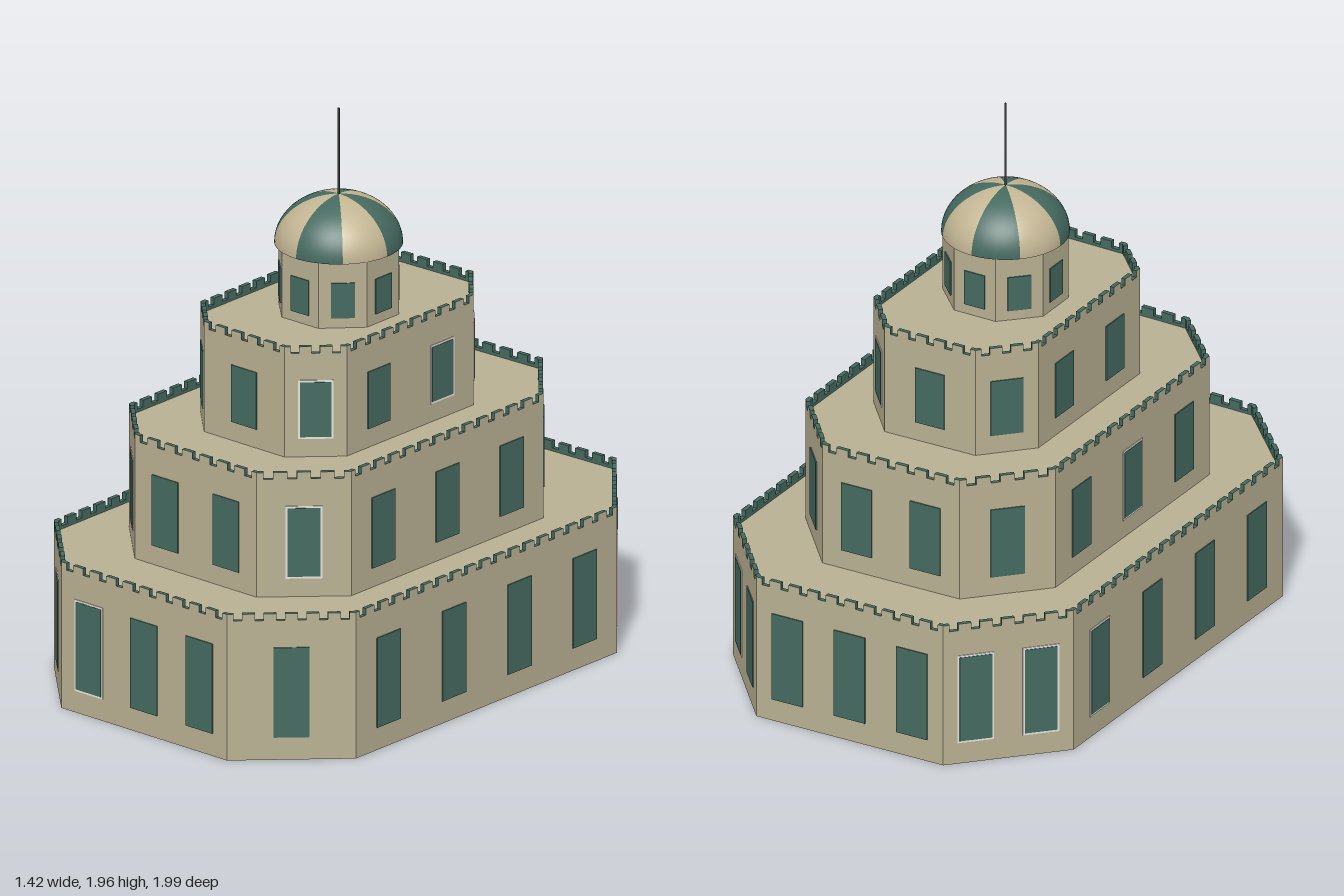
import * as THREE from 'three';

const mat = (name, color, side = THREE.DoubleSide) => {
  const m = new THREE.MeshStandardMaterial({ color, side });
  m.name = name;
  return m;
};

export function createModel() {
  const stone = mat('sandstone', 0xb9b193);
  const green = mat('dark green', 0x456a60);
  const cream = mat('dome cream', 0xc3b694);
  const white = mat('window frame white', 0xf2f0ea);
  const metal = mat('spire grey', 0x3c3c3c);

  const model = new THREE.Group();
  model.name = 'tieredTower';

  const add = (parent, name, geo, material, x = 0, y = 0, z = 0) => {
    const m = new THREE.Mesh(geo, material);
    m.name = name;
    m.position.set(x, y, z);
    parent.add(m);
    return m;
  };

  // Irregular octagon plan, clockwise from the back face
  const plan = [[-0.29, -0.995], [0.43, -0.965], [0.71, -0.6], [0.62, 0.72],
    [0.29, 0.995], [-0.45, 0.935], [-0.71, 0.635], [-0.62, -0.69]];
  const scaled = (s) => plan.map(([x, z]) => [x * s, z * s]);
  const drumPlan = Array.from({ length: 8 }, (_, i) => {
    const a = THREE.MathUtils.degToRad(-18.9 + 45 * i);
    return [0.212 * Math.sin(a), -0.212 * Math.cos(a)];
  });

  // Flat wall outline with an optional notched top
  const wallShape = (len, bottom, top, notch) => {
    const s = new THREE.Shape();
    s.moveTo(0, bottom);
    s.lineTo(len, bottom);
    s.lineTo(len, top);
    if (notch) {
      const n = Math.max(2, Math.round(len / 0.075));
      const p = len / n;
      for (let i = n - 1; i >= 0; i--) {
        const r = (i + 0.7) * p, l = (i + 0.3) * p;
        s.lineTo(r, top);
        s.lineTo(r, top - notch);
        s.lineTo(l, top - notch);
        s.lineTo(l, top);
      }
    }
    s.lineTo(0, top);
    s.closePath();
    return s;
  };

  // Ring of eight walls with windows; framed lists "face:index" windows
  const addWalls = (t) => {
    const tier = new THREE.Group();
    tier.name = t.name;
    model.add(tier);
    t.points.forEach((a, i) => {
      const b = t.points[(i + 1) % 8];
      const dx = a[0] - b[0], dz = a[1] - b[1];
      const len = Math.hypot(dx, dz);
      const face = new THREE.Group();
      face.name = 'wallFace';
      face.position.set(b[0], 0, b[1]);
      face.rotation.y = Math.atan2(-dz, dx);
      tier.add(face);
      add(face, 'wall', new THREE.ShapeGeometry(wallShape(len, t.base, t.top, t.notch)), stone);
      if (t.notch) {
        const lining = new THREE.ExtrudeGeometry(wallShape(len, t.roof, t.top, t.notch),
          { depth: 0.015, bevelEnabled: false });
        add(face, 'parapetLining', lining, green, 0, 0, -0.016);
      }
      const [y0, y1] = t.windowY;
      const count = t.windows[i];
      for (let j = 0; j < count; j++) {
        const x = len * (j + 0.5) / count, y = (y0 + y1) / 2, h = y1 - y0;
        const framed = t.framed.includes(`${i}:${j}`);
        const trim = framed ? 0.008 : 0;
        add(face, 'window', new THREE.BoxGeometry(t.windowW - trim, h - trim, 0.008), green, x, y);
        if (framed) {
          add(face, 'windowFrame', new THREE.BoxGeometry(t.windowW + 0.006, h + 0.006, 0.005), white, x, y);
        }
      }
    });
    // Roof terrace, open where the next tier rises
    const toVec = ([x, z]) => new THREE.Vector2(x, -z);
    const shape = new THREE.Shape(t.points.map(toVec));
    if (t.inner) shape.holes.push(new THREE.Path(t.inner.map(toVec)));
    add(tier, 'roof', new THREE.ShapeGeometry(shape).rotateX(-Math.PI / 2), stone, 0, t.roof);
  };

  const lower = scaled(1), middle = scaled(0.735), upper = scaled(0.485);
  addWalls({ name: 'lowerTier', points: lower, inner: middle, base: 0, top: 0.52, roof: 0.485,
    notch: 0.024, windowY: [0.08, 0.4], windowW: 0.12, windows: [3, 2, 4, 1, 3, 1, 4, 2],
    framed: ['4:0', '5:0', '7:0', '7:1', '6:0', '1:0'] });
  addWalls({ name: 'middleTier', points: middle, inner: upper, base: 0.485, top: 0.928, roof: 0.893,
    notch: 0.024, windowY: [0.553, 0.805], windowW: 0.117, windows: [2, 1, 3, 1, 2, 1, 3, 1],
    framed: ['5:0', '3:0', '6:1'] });
  addWalls({ name: 'upperTier', points: upper, inner: drumPlan, base: 0.893, top: 1.285, roof: 1.25,
    notch: 0.024, windowY: [0.96, 1.163], windowW: 0.113, windows: [1, 1, 2, 1, 1, 1, 2, 1],
    framed: ['3:0', '1:0', '2:1'] });
  addWalls({ name: 'drum', points: drumPlan, base: 1.25, top: 1.485, roof: 1.483,
    notch: 0, windowY: [1.285, 1.41], windowW: 0.08, windows: Array(8).fill(1), framed: [] });

  // Striped dome in eight gores
  const dome = new THREE.Group();
  dome.name = 'dome';
  dome.position.y = 1.483;
  dome.scale.y = 0.172 / 0.215;
  model.add(dome);
  for (let k = 0; k < 8; k++) {
    const start = THREE.MathUtils.degToRad(-94 + 45 * k);
    add(dome, 'domeGore', new THREE.SphereGeometry(0.215, 8, 16, start, Math.PI / 4, 0, Math.PI / 2),
      k % 2 ? cream : green);
  }

  // Spire
  add(model, 'spire', new THREE.CylinderGeometry(0.004, 0.004, 0.32, 8), metal, 0, 1.8);

  return model;
}
